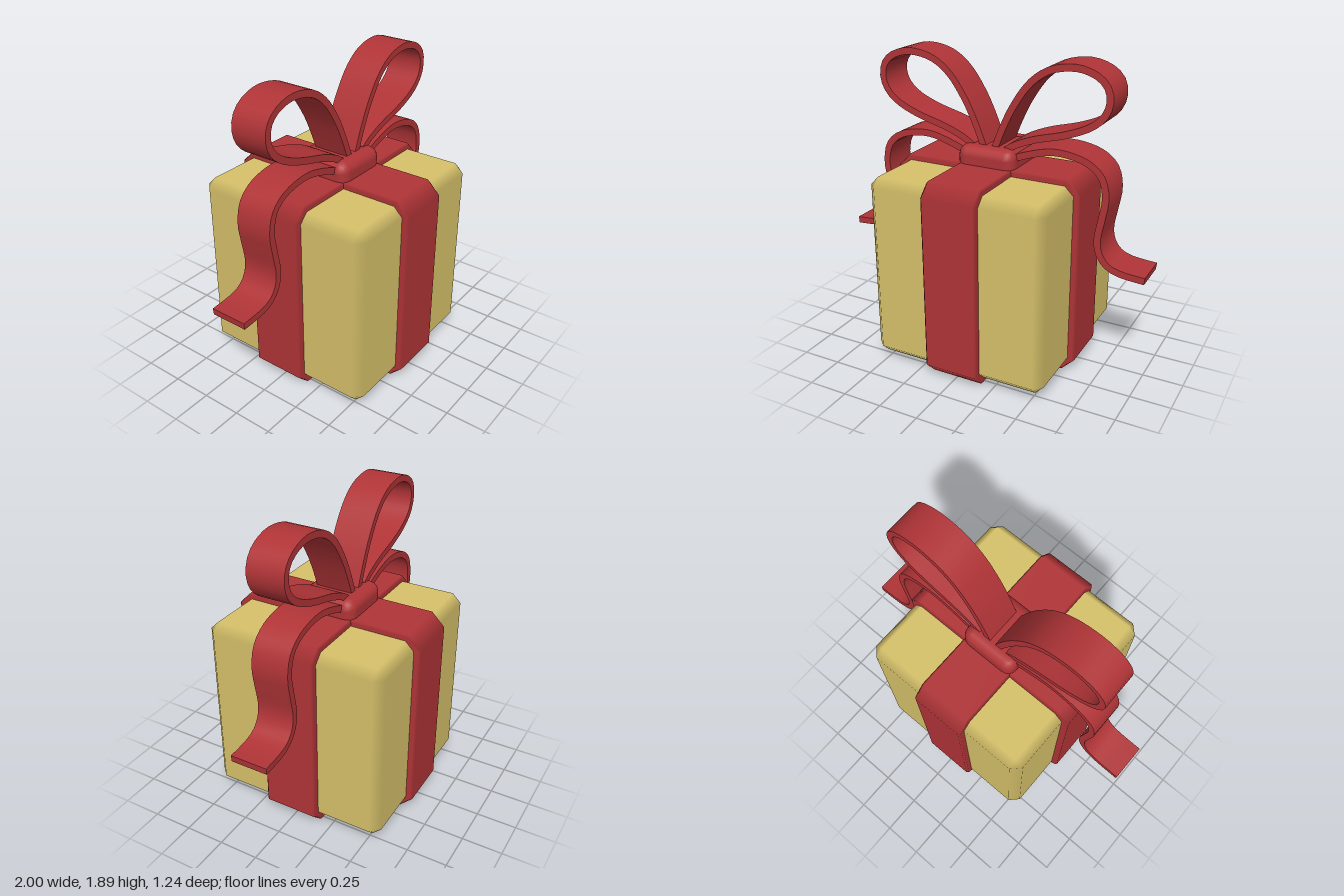
import * as THREE from 'three';
import { toCreasedNormals } from 'three/addons/utils/BufferGeometryUtils.js';
import { ConvexGeometry } from 'three/addons/geometries/ConvexGeometry.js';
import { RoundedBoxGeometry } from 'three/addons/geometries/RoundedBoxGeometry.js';

const red = new THREE.MeshStandardMaterial({ color: 0xb03437 });
red.name = 'ribbon red';
const gold = new THREE.MeshStandardMaterial({ color: 0xd6c16a });
gold.name = 'paper gold';

// Block with y-z corners cut by c and x-side edges cut by b; shading blends over the cuts only
function chamferedBlock(hx, hy, hz, c, b) {
  const pts = [];
  for (const x of [-1, 1]) for (const y of [-1, 1]) for (const z of [-1, 1]) {
    const corner = [
      [hx - b, hy, hz - c], [hx - b, hy - c, hz],
      [hx, hy - b, hz - c],
    ];
    if (b !== c) corner.push([hx, hy - c, hz - b]);
    for (const p of corner) pts.push(new THREE.Vector3(p[0] * x, p[1] * y, p[2] * z));
  }
  const geo = new ConvexGeometry(pts);
  const pos = geo.attributes.position, nor = geo.attributes.normal;
  const half = [hx, hy, hz];
  for (let i = 0; i < pos.count; i++) {
    const p = [pos.getX(i), pos.getY(i), pos.getZ(i)];
    const n = p.map((v, k) => (Math.abs(Math.abs(v) - half[k]) < 1e-5 ? Math.sign(v) : 0));
    nor.setXYZ(i, ...n);
  }
  return geo;
}

// Flat ribbon of even thickness following a path in the x-y plane
function ribbon(path, steps) {
  const thick = 0.021, width = 0.234;
  const curve = new THREE.SplineCurve(path.map(([x, y]) => new THREE.Vector2(x, y)));
  const one = [], two = [];
  for (let i = 0; i <= steps; i++) {
    const p = curve.getPointAt(i / steps), t = curve.getTangentAt(i / steps);
    one.push(new THREE.Vector2(p.x - t.y * thick, p.y + t.x * thick));
    two.unshift(new THREE.Vector2(p.x + t.y * thick, p.y - t.x * thick));
  }
  const geo = new THREE.ExtrudeGeometry(new THREE.Shape([...one, ...two]), { depth: width, bevelEnabled: false });
  geo.translate(0, 0, -width / 2);
  return toCreasedNormals(geo, 0.7);
}

const loopPath = [
  [0.03, 1.33], [0.09, 1.48], [0.16, 1.62], [0.26, 1.76], [0.38, 1.845], [0.53, 1.873],
  [0.65, 1.845], [0.72, 1.785], [0.738, 1.70], [0.705, 1.615], [0.62, 1.545], [0.48, 1.487],
  [0.30, 1.437], [0.17, 1.385], [0.11, 1.345],
];
const tailPath = [
  [0.12, 1.285], [0.25, 1.337], [0.40, 1.376], [0.53, 1.37], [0.64, 1.335], [0.715, 1.265],
  [0.741, 1.15], [0.725, 1.03], [0.703, 0.90], [0.715, 0.81], [0.765, 0.74], [0.85, 0.705], [0.999, 0.692],
];

export function createModel() {
  const group = new THREE.Group();
  const add = (name, geo, mat, y = 0, parent = group) => {
    const mesh = new THREE.Mesh(geo, mat);
    mesh.name = name;
    mesh.position.y = y;
    parent.add(mesh);
    return mesh;
  };

  // Wrapped box
  add('box', chamferedBlock(0.57, 0.585, 0.58, 0.055, 0.055), gold, 0.625);

  // Crossing bands
  add('frontBand', chamferedBlock(0.175, 0.6225, 0.62, 0.082, 0.012), red, 0.6225);
  const side = add('sideBand', chamferedBlock(0.175, 0.6225, 0.61, 0.082, 0.012), red, 0.6225);
  side.rotation.y = Math.PI / 2;

  // Bow
  add('knot', new RoundedBoxGeometry(0.376, 0.17, 0.38, 2, 0.065), red, 1.275);
  const loopGeo = ribbon(loopPath, 44);
  const tailGeo = ribbon(tailPath, 36);
  for (const [name, turn] of [['left', 0], ['right', Math.PI]]) {
    const half = new THREE.Group();
    half.name = name + 'BowHalf';
    half.rotation.y = turn;
    add(name + 'Loop', loopGeo, red, 0, half);
    add(name + 'Tail', tailGeo, red, 0, half);
    group.add(half);
  }
  return group;
}
